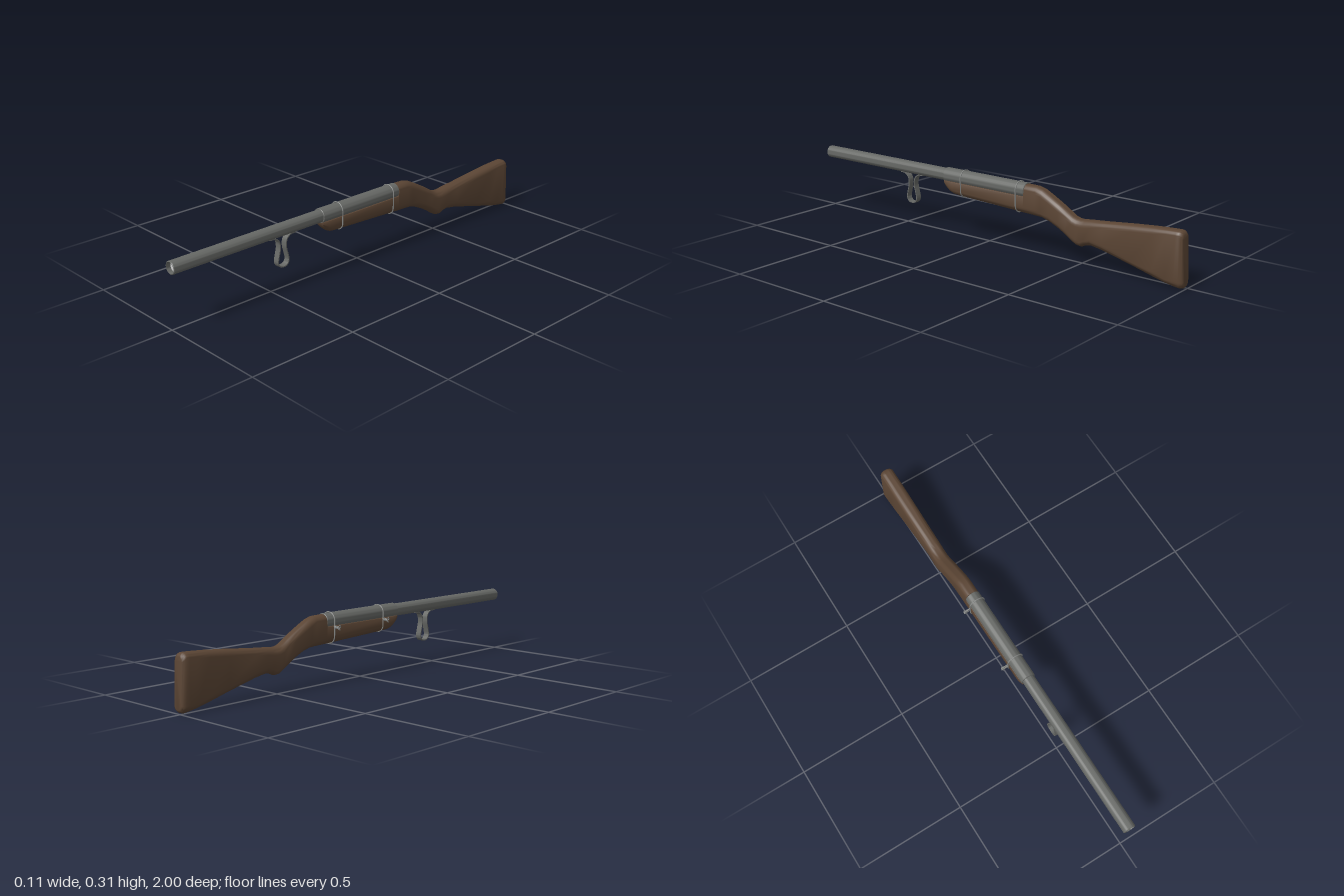
import * as THREE from 'three';
import { toCreasedNormals } from 'three/addons/utils/BufferGeometryUtils.js';

const material = (name, color) => Object.assign(new THREE.MeshStandardMaterial({ color }), { name });
const wood = material('walnut wood', 0x5b4534);
const metal = material('gun metal', 0x666865);
const wireMetal = material('wire', 0x858785);
const boreMetal = material('bright bore', 0xcfcfcf);
const AXIS = 0.272; // height of the barrel axis

function mesh(name, geometry, mat) {
  const m = new THREE.Mesh(geometry, mat);
  m.name = name;
  return m;
}

// Rounded-rectangle outline, counterclockwise as seen from the front
function section({ z, top, bottom, w, rt = 0.024, slant = 0 }) {
  const h = top - bottom;
  const rTop = Math.min(rt, w, h * 0.45);
  const rBot = Math.min(w * 0.95, h * 0.5);
  const corners = [
    [w - rTop, top - rTop, rTop, 0], [-w + rTop, top - rTop, rTop, 1],
    [-w + rBot, bottom + rBot, rBot, 2], [w - rBot, bottom + rBot, rBot, 3],
  ];
  const ring = [];
  for (const [cx, cy, r, q] of corners) {
    for (let i = 0; i <= 6; i++) {
      const a = (q + i / 6) * Math.PI / 2;
      const y = cy + r * Math.sin(a);
      ring.push([cx + r * Math.cos(a), y, z + slant * (y - bottom) / h]);
    }
  }
  return ring;
}

// Skin a row of outlines running from front to back and close both ends
function loft(rings) {
  const n = rings[0].length, pos = rings.flat(2), index = [];
  for (let i = 0; i < rings.length - 1; i++) {
    for (let j = 0; j < n; j++) {
      const k = (j + 1) % n, a = i * n, b = a + n;
      index.push(a + j, b + j, b + k, a + j, b + k, a + k);
    }
  }
  const last = (rings.length - 1) * n;
  for (let j = 1; j < n - 1; j++) {
    index.push(0, j, j + 1, last, last + j + 1, last + j);
  }
  const g = new THREE.BufferGeometry();
  g.setAttribute('position', new THREE.Float32BufferAttribute(pos, 3));
  g.setIndex(index);
  return toCreasedNormals(g, 0.75);
}

// Stock: flat-topped fore-end, sloping wrist and deep butt
function stock() {
  const rows = [ // z, top, bottom, half width, top corner radius
    [0.235, 0.25, 0.236, 0.027, 0.004], [0.222, 0.25, 0.218, 0.03, 0.004],
    [0.203, 0.25, 0.2, 0.032, 0.004], [0.185, 0.25, 0.191, 0.032, 0.004],
    [0.16, 0.25, 0.188, 0.032, 0.004], [-0.218, 0.25, 0.172, 0.032, 0.004],
    [-0.221, 0.302, 0.172, 0.032, 0.03], [-0.28, 0.301, 0.17, 0.032, 0.03],
    [-0.31, 0.293, 0.168, 0.032, 0.03], [-0.35, 0.273, 0.157, 0.032, 0.03],
    [-0.4, 0.246, 0.134, 0.032, 0.03], [-0.44, 0.222, 0.111, 0.032, 0.03],
    [-0.47, 0.204, 0.091, 0.032, 0.03], [-0.49, 0.198, 0.081, 0.032, 0.03],
    [-0.51, 0.197, 0.079, 0.032, 0.03], [-0.53, 0.199, 0.088, 0.032, 0.03],
    [-0.56, 0.202, 0.093, 0.032, 0.028], [-0.62, 0.207, 0.083, 0.032, 0.027],
    [-0.76, 0.222, 0.049, 0.032, 0.025], [-0.86, 0.231, 0.023, 0.032, 0.024],
    [-0.92, 0.235, 0.009, 0.032, 0.024], [-0.96, 0.237, 0.002, 0.032, 0.024],
  ].map(([z, top, bottom, w, rt]) => section({ z, top, bottom, w, rt }));
  const inset = [[-0.982, 0, 0], [-0.991, 0.003, 0.003], [-0.997, 0.008, 0.007], [-1, 0.015, 0.013]];
  for (const [z, dy, dw] of inset) {
    rows.push(section({ z, top: 0.237 - dy, bottom: dy, w: 0.032 - dw, slant: 0.01 }));
  }
  return mesh('stock', loft(rows), wood);
}

// Hollow tube along z, given as inner and outer radius and ends
function pipe(name, inner, outer, back, front) {
  const e = 0.002;
  const profile = [[inner, back], [outer - e, back], [outer, back + e], [outer, front - e],
    [outer - e, front], [inner, front], [inner, back]].map(p => new THREE.Vector2(...p));
  const g = toCreasedNormals(new THREE.LatheGeometry(profile, 40).rotateX(Math.PI / 2), 0.6);
  const m = mesh(name, g, metal);
  m.position.y = AXIS;
  return m;
}

// Bent metal strip hanging below the barrel
function hook() {
  const path = new THREE.CatmullRomCurve3([
    [0.515, 0.246], [0.487, 0.243], [0.468, 0.226], [0.463, 0.195], [0.472, 0.155], [0.476, 0.13],
    [0.466, 0.112], [0.447, 0.107], [0.428, 0.112], [0.418, 0.13], [0.422, 0.155], [0.431, 0.195],
    [0.426, 0.226], [0.407, 0.243], [0.379, 0.246],
  ].map(([z, y]) => new THREE.Vector3(z, y, 0)));
  const left = [], right = [];
  for (let i = 0; i <= 64; i++) {
    const p = path.getPoint(i / 64), t = path.getTangent(i / 64);
    left.push(new THREE.Vector2(p.x - t.y * 0.0025, p.y + t.x * 0.0025));
    right.unshift(new THREE.Vector2(p.x + t.y * 0.0025, p.y - t.x * 0.0025));
  }
  const g = new THREE.ExtrudeGeometry(new THREE.Shape([...left, ...right]), { depth: 0.028, bevelEnabled: false });
  g.rotateY(-Math.PI / 2).translate(0.014, 0, 0);
  return mesh('hook', toCreasedNormals(g, 0.6), metal);
}

const tube = (name, points, closed, r) => mesh(name,
  new THREE.TubeGeometry(new THREE.CatmullRomCurve3(points, closed), points.length * 3, r, 8, closed), wireMetal);

// Wire binding around receiver and fore-end, with a twisted tail on the right
function binding(z, bottom) {
  const g = new THREE.Group();
  g.name = 'wireBinding';
  const loop = [];
  for (let i = 0; i <= 12; i++) {
    const a = i / 12 * Math.PI;
    loop.push(new THREE.Vector3(0.0358 * Math.cos(a), AXIS + 0.0358 * Math.sin(a), 0));
  }
  loop.push(new THREE.Vector3(-0.035, 0.245, 0));
  for (let i = 0; i <= 12; i++) {
    const a = Math.PI + i / 12 * Math.PI;
    loop.push(new THREE.Vector3(0.0345 * Math.cos(a), bottom + 0.031 + 0.0335 * Math.sin(a), 0));
  }
  loop.push(new THREE.Vector3(0.035, 0.245, 0));
  g.add(tube('wireLoop', loop, true, 0.0026));
  for (const phase of [0, Math.PI]) {
    const strand = [];
    for (let i = 0; i <= 28; i++) {
      const t = i / 28, a = phase + t * Math.PI * 4 + Math.PI / 2;
      const r = 0.0045 + Math.max(0, t - 0.8) * 0.025;
      strand.push(new THREE.Vector3(-0.034 - t * 0.032, 0.245 + r * Math.sin(a), r * Math.cos(a)));
    }
    g.add(tube('twistedTail', strand, false, 0.0026));
    const tip = mesh('wireTip', new THREE.SphereGeometry(0.0028, 8, 6), wireMetal);
    tip.position.copy(strand[28]);
    g.add(tip);
  }
  g.position.z = z;
  return g;
}

export function createModel() {
  const gun = new THREE.Group();
  gun.name = 'longGun';
  gun.add(stock());
  gun.add(pipe('barrel', 0.0245, 0.0285, -0.2, 1));
  gun.add(pipe('receiver', 0.027, 0.0335, -0.22, 0.235));
  gun.add(hook());
  gun.add(binding(0.13, 0.187), binding(-0.18, 0.173));

  // Bright disc closing the bore
  const bore = mesh('bore', new THREE.CircleGeometry(0.0246, 32), boreMetal);
  bore.position.set(0, AXIS, 0.98);
  gun.add(bore);

  gun.position.x = 0.014;
  const model = new THREE.Group();
  model.name = 'model';
  model.add(gun);
  return model;
}
